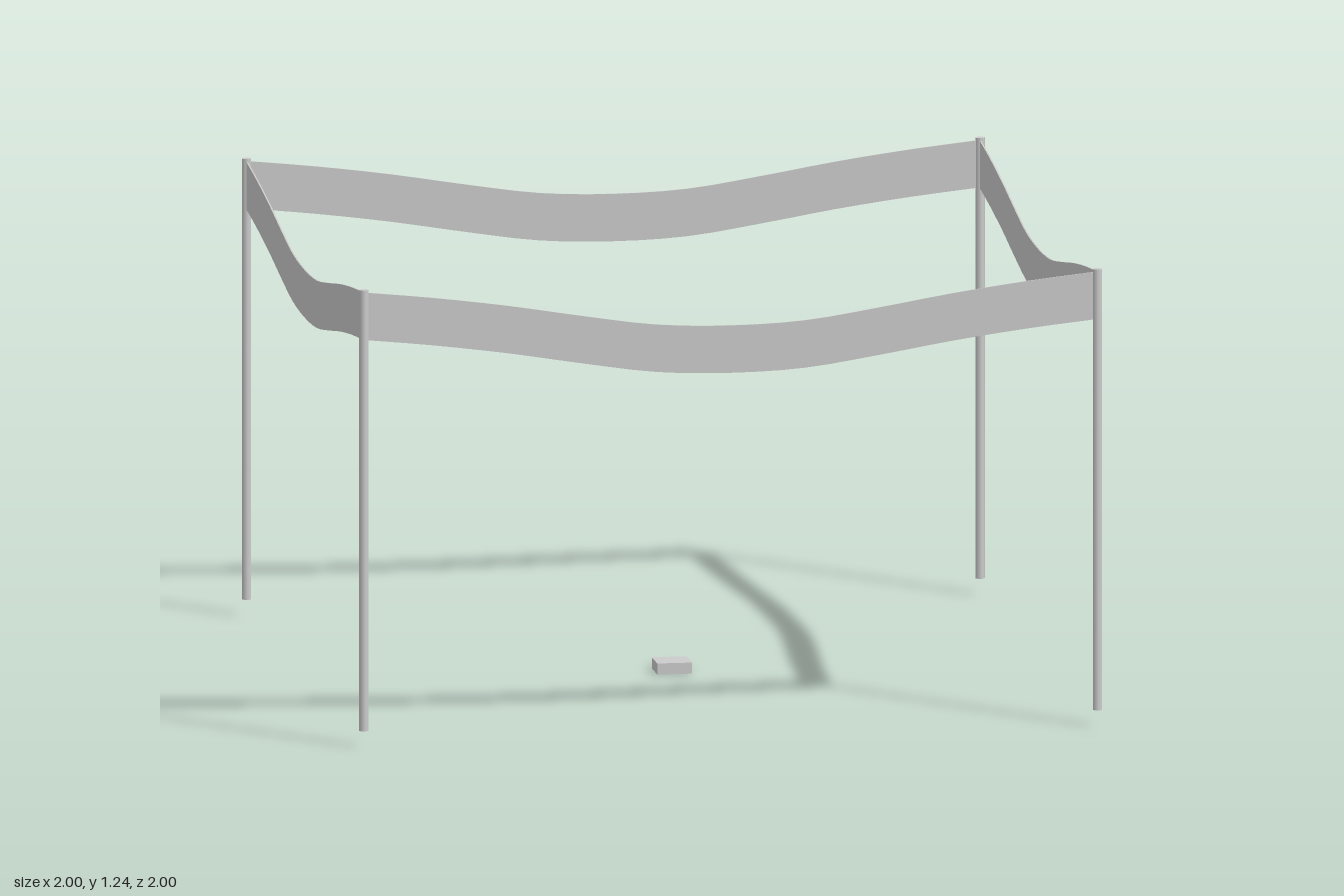
import * as THREE from 'three';

const HALF = 0.9875; // distance of posts and bands from the centre
const BAND_HEIGHT = 0.128;
const BAND_THICKNESS = 0.004;

// One sagging band, lying in the xy plane and centred on z = 0
function bandGeometry() {
  const half = [[0, 1.112], [0.2, 1.12], [0.4, 1.149], [0.6, 1.182], [0.8, 1.209], [HALF, 1.229]];
  const points = [
    ...half.slice(1).reverse().map(([x, y]) => new THREE.Vector2(-x, y)),
    ...half.map(([x, y]) => new THREE.Vector2(x, y)),
  ];
  const top = new THREE.SplineCurve(points).getPoints(30);
  const bottom = top.map((p) => new THREE.Vector2(p.x, p.y - BAND_HEIGHT)).reverse();
  const geometry = new THREE.ExtrudeGeometry(new THREE.Shape([...bottom, ...top]), {
    depth: BAND_THICKNESS,
    bevelEnabled: false,
  });
  return geometry.translate(0, 0, -BAND_THICKNESS / 2);
}

export function createModel() {
  const group = new THREE.Group();
  const material = new THREE.MeshStandardMaterial({ color: 0xcccccc });
  const add = (name, geometry) => {
    const mesh = new THREE.Mesh(geometry, material);
    mesh.name = name;
    group.add(mesh);
    return mesh;
  };

  // Four corner posts, raised slightly above the base block's floor level
  const bottom = 0.045, top = 1.236;
  const post = new THREE.CylinderGeometry(0.0125, 0.0125, top - bottom, 12);
  for (const x of [-1, 1]) {
    for (const z of [-1, 1]) {
      add('cornerPost', post).position.set(x * HALF, (top + bottom) / 2, z * HALF);
    }
  }

  // Sagging bands between neighbouring posts
  const band = bandGeometry();
  ['frontBand', 'leftBand', 'backBand', 'rightBand'].forEach((name, i) => {
    const angle = (i * Math.PI) / 2;
    const mesh = add(name, band);
    mesh.rotation.y = angle;
    mesh.position.set(Math.sin(angle) * HALF, 0, Math.cos(angle) * HALF);
  });

  // Small block on the ground in the centre
  add('centreBlock', new THREE.BoxGeometry(0.094, 0.03, 0.094)).position.y = 0.015;

  return group;
}
